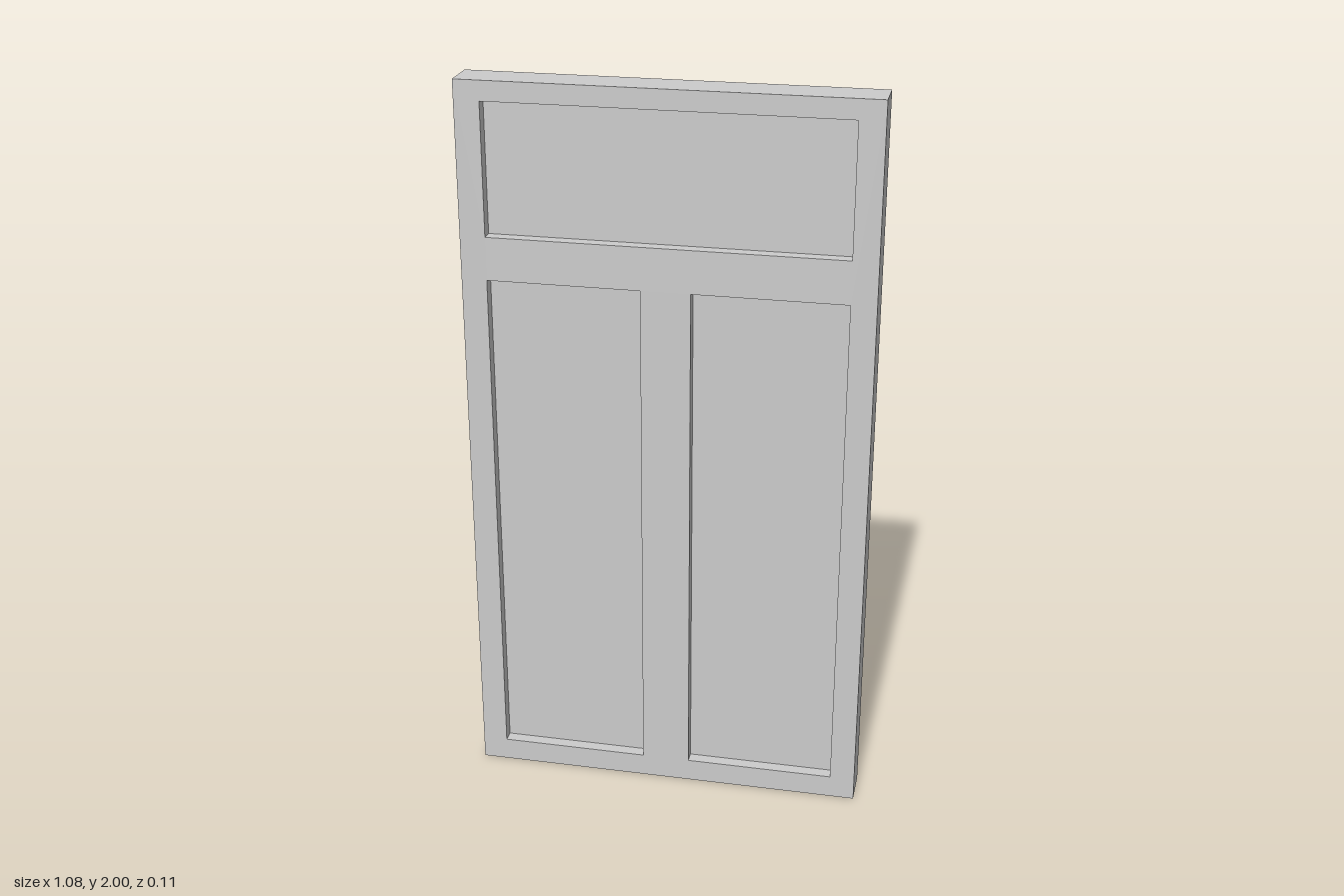
import * as THREE from 'three';

const W = 1.084, H = 2, D = 0.106;   // overall door size
const PANEL_Z = 0.018, PANEL_T = 0.003;

// Openings in the frame: [name, x0, x1, y0, y1]
const OPENINGS = [
  ['topPanel', -0.474, 0.474, 1.593, 1.947],
  ['rightPanel', -0.474, -0.066, 0.064, 1.476],
  ['leftPanel', 0.066, 0.474, 0.064, 1.476],
];

function rectangle(path, x0, x1, y0, y1) {
  path.moveTo(x0, y0);
  path.lineTo(x1, y0);
  path.lineTo(x1, y1);
  path.lineTo(x0, y1);
  path.closePath();
  return path;
}

export function createModel() {
  const group = new THREE.Group();
  group.name = 'door';
  const material = new THREE.MeshStandardMaterial({ color: 0xcccccc, flatShading: true });

  // Frame of stiles and rails with three openings
  const outline = rectangle(new THREE.Shape(), -W / 2, W / 2, 0, H);
  for (const [, ...r] of OPENINGS) outline.holes.push(rectangle(new THREE.Path(), ...r));
  const frameGeometry = new THREE.ExtrudeGeometry(outline, { depth: D, bevelEnabled: false });
  frameGeometry.translate(0, 0, -D / 2);
  const frame = new THREE.Mesh(frameGeometry, material);
  frame.name = 'frame';
  group.add(frame);

  // Thin panels, set shallow at the front and deep at the back
  for (const [name, x0, x1, y0, y1] of OPENINGS) {
    const panel = new THREE.Mesh(new THREE.BoxGeometry(x1 - x0, y1 - y0, PANEL_T), material);
    panel.name = name;
    panel.position.set((x0 + x1) / 2, (y0 + y1) / 2, PANEL_Z);
    group.add(panel);
  }

  return group;
}
